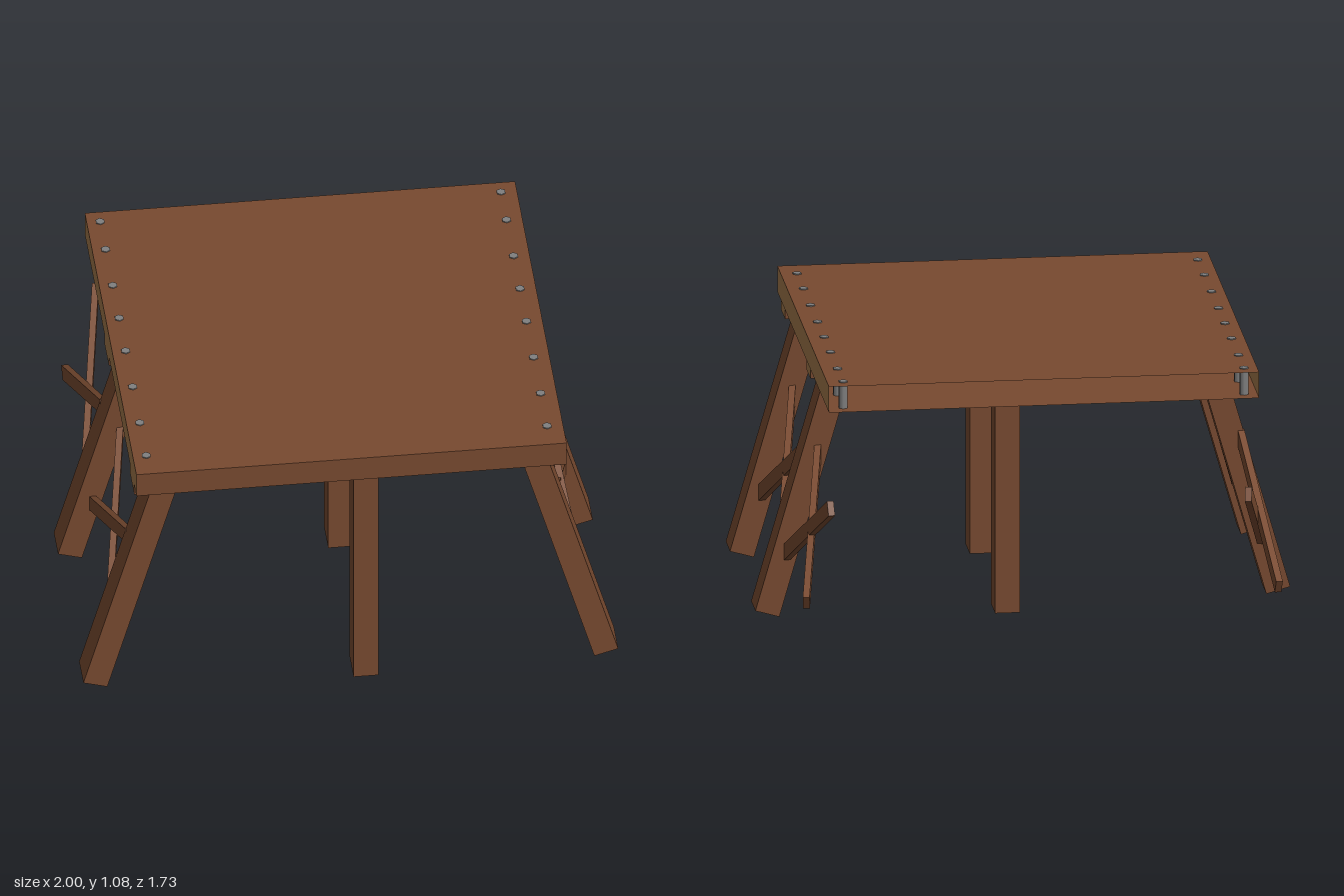
import * as THREE from 'three';

const mat = (name, color) => {
  const m = new THREE.MeshStandardMaterial({ color, side: THREE.DoubleSide });
  m.name = name;
  return m;
};

export function createModel() {
  const model = new THREE.Group();
  model.name = 'timberPlatform';
  const wood = mat('brown wood', 0x784a30);
  const endGrain = mat('light end grain', 0xa0774a);
  const iron = mat('grey iron', 0x808080);
  const endFaces = [endGrain, endGrain, wood, wood, wood, wood];

  // Box that may leave out one face (0..5 = +x, -x, +y, -y, +z, -z)
  function box(name, size, pos, material, openFace = -1) {
    const geo = new THREE.BoxGeometry(...size);
    if (openFace >= 0) {
      const index = Array.from(geo.index.array);
      index.fill(0, openFace * 6, openFace * 6 + 6);
      geo.setIndex(index);
      geo.groups.splice(openFace, 1);
      if (!Array.isArray(material)) geo.setIndex(index.filter((v, i) => i < openFace * 6 || i >= openFace * 6 + 6));
    }
    const mesh = new THREE.Mesh(geo, material);
    mesh.name = name;
    mesh.position.set(...pos);
    model.add(mesh);
    return mesh;
  }

  // Leg set along a line from foot to head, open at the foot
  function leg(name, foot, head, z) {
    const a = new THREE.Vector2(...foot), b = new THREE.Vector2(...head);
    const mid = a.clone().add(b).multiplyScalar(0.5);
    const mesh = box(name, [0.093, a.distanceTo(b), 0.132], [mid.x, mid.y, z], wood, 3);
    mesh.rotation.z = -Math.atan2(b.x - a.x, b.y - a.y);
  }

  // Thin diagonal board between two points
  function brace(name, from, to) {
    const a = new THREE.Vector3(...from), b = new THREE.Vector3(...to);
    const mid = a.clone().add(b).multiplyScalar(0.5);
    const mesh = box(name, [0.025, 0.056, a.distanceTo(b)], mid.toArray(), wood);
    mesh.lookAt(b);
  }

  // Deck, open along the back edge
  box('deck', [1.61, 0.1, 1.6], [-0.005, 1.03, 0.06], endFaces, 5);

  // Two trestles, each with a beam, three legs and crossed braces on both sides
  for (const [row, z] of [['front', 0.723], ['rear', -0.065]]) {
    box(row + 'Beam', [1.605, 0.048, 0.132], [-0.007, 0.957, z], endFaces);
    leg(row + 'RightLeg', [-0.955, 0.052], [-0.698, 0.95], z);
    leg(row + 'MiddleLeg', [0.058, 0], [0.058, 0.95], z);
    leg(row + 'LeftLeg', [0.957, 0.028], [0.692, 0.95], z);

    const near = z - 0.045, farLow = z - 0.762, farHigh = z - 0.79;
    brace(row + 'LeftFallingBrace', [0.765, 0.655, near], [0.895, 0.272, farLow]);
    brace(row + 'LeftRisingBrace', [0.885, 0.255, near], [0.806, 0.643, farHigh]);
    brace(row + 'RightFallingBrace', [-0.815, 0.655, near], [-0.873, 0.272, farLow]);
    brace(row + 'RightRisingBrace', [-0.892, 0.255, near], [-0.756, 0.643, farHigh]);
  }

  // Nails along both sides, passing through the deck
  const nailGeo = new THREE.CylinderGeometry(0.018, 0.018, 0.108, 6);
  for (const x of [-0.76, 0.74]) {
    for (const z of [-0.68, -0.51, -0.29, -0.09, 0.11, 0.33, 0.55, 0.75]) {
      const nail = new THREE.Mesh(nailGeo, iron);
      nail.name = 'nail';
      nail.position.set(x, 1.03, z);
      model.add(nail);
    }
  }
  return model;
}
